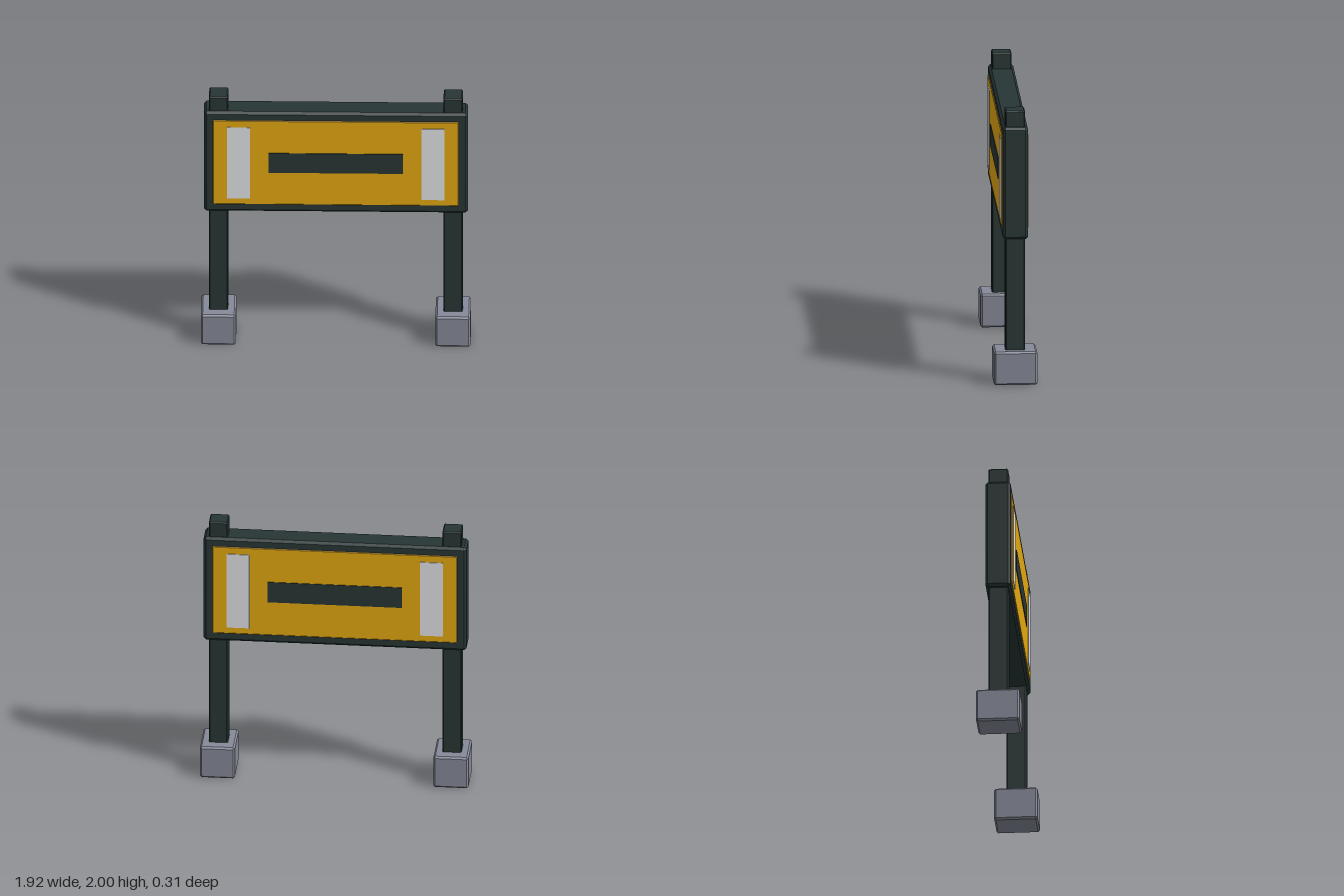
import * as THREE from 'three';
import { ConvexGeometry } from 'three/addons/geometries/ConvexGeometry.js';

const material = (name, color) => {
  const m = new THREE.MeshStandardMaterial({ color });
  m.name = name;
  return m;
};

// Box with flat chamfered edges, centred on its origin
function chamferBox(w, h, d, c) {
  const points = [];
  for (const sx of [-1, 1]) for (const sy of [-1, 1]) for (const sz of [-1, 1]) {
    const x = w / 2, y = h / 2, z = d / 2;
    for (const [px, py, pz] of [[x, y - c, z - c], [x - c, y, z - c], [x - c, y - c, z]]) {
      points.push(new THREE.Vector3(sx * px, sy * py, sz * pz));
    }
  }
  return new ConvexGeometry(points);
}

export function createModel() {
  const group = new THREE.Group();
  group.name = 'signboard';
  const dark = material('dark frame', 0x283635);
  const yellow = material('yellow panel', 0xe5aa12);
  const white = material('white stripe', 0xe4e5e8);
  const concrete = material('grey concrete', 0x868a99);

  const add = (name, geometry, mat, x, y, z = 0) => {
    const mesh = new THREE.Mesh(geometry, mat);
    mesh.name = name;
    mesh.position.set(x, y, z);
    group.add(mesh);
  };

  // Posts standing in concrete feet
  for (const [side, s] of [['left', 1], ['right', -1]]) {
    add(side + 'Foot', chamferBox(0.25, 0.245, 0.31, 0.013), concrete, s * 0.835, 0.1225);
    add(side + 'Post', chamferBox(0.136, 1.8, 0.14, 0.008), dark, s * 0.835, 1.1);
  }

  // Board body
  add('boardFrame', chamferBox(1.88, 0.82, 0.18, 0.018), dark, 0, 1.475);

  // Both faces carry the same panel, stripes and bar
  for (const [face, s] of [['front', 1], ['back', -1]]) {
    add(face + 'Panel', chamferBox(1.75, 0.69, 0.016, 0.005), yellow, 0, 1.475, s * 0.087);
    add(face + 'Bar', new THREE.BoxGeometry(0.96, 0.16, 0.008), dark, 0, 1.475, s * 0.096);
    for (const [side, t] of [['Left', 1], ['Right', -1]]) {
      add(face + side + 'Stripe', new THREE.BoxGeometry(0.162, 0.585, 0.008), white, t * 0.692, 1.473, s * 0.096);
    }
  }
  return group;
}
